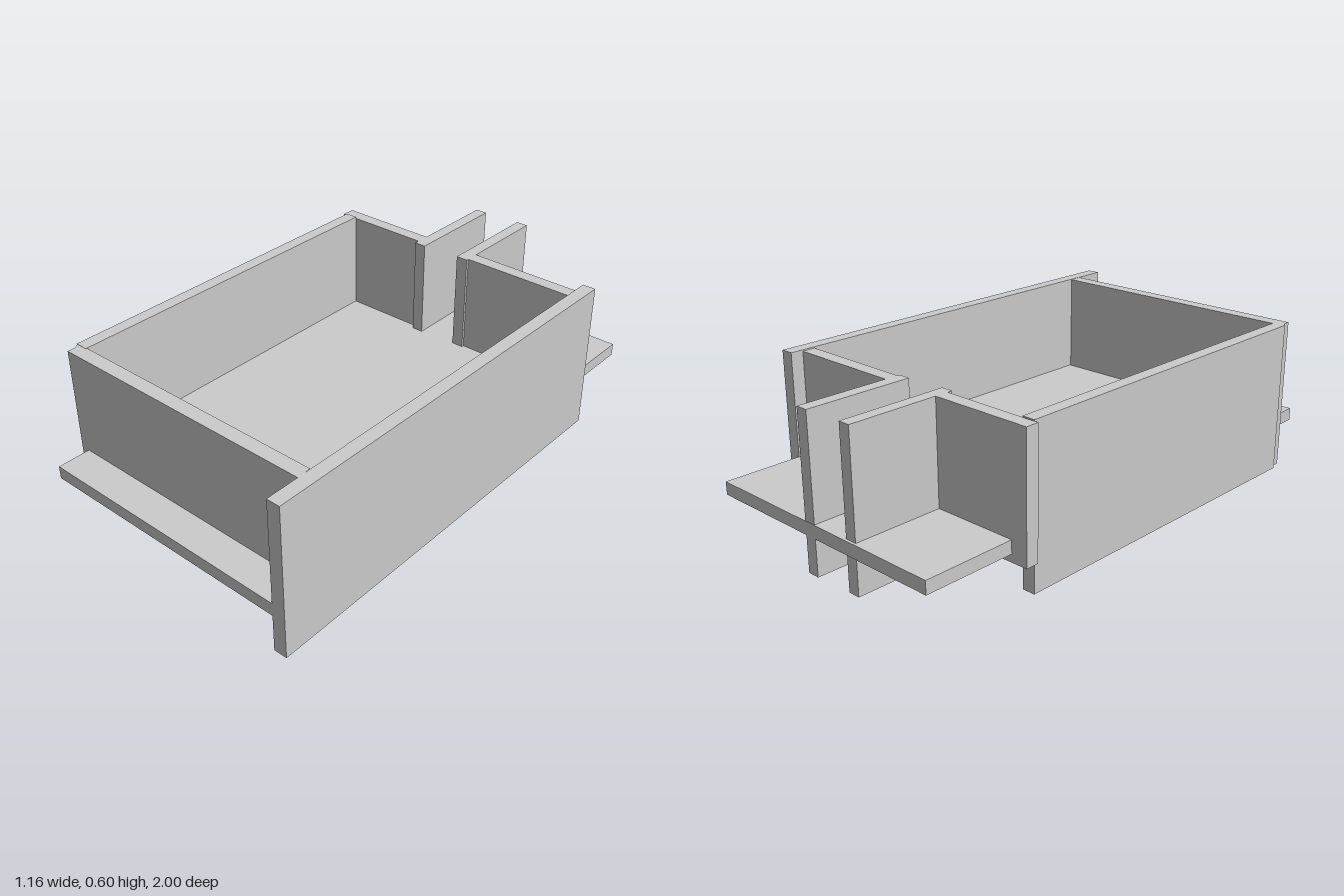
import * as THREE from 'three';

const material = new THREE.MeshStandardMaterial({ color: 0xcccccc, flatShading: true });

// Upright or flat board given by its extents on each axis
function board(name, [x0, x1], [y0, y1], [z0, z1]) {
  const mesh = new THREE.Mesh(new THREE.BoxGeometry(x1 - x0, y1 - y0, z1 - z0), material);
  mesh.position.set((x0 + x1) / 2, (y0 + y1) / 2, (z0 + z1) / 2);
  mesh.name = name;
  return mesh;
}

export function createModel() {
  const group = new THREE.Group();
  group.name = 'openTray';

  // Floor running out past both end walls
  group.add(board('floor', [-0.515, 0.527], [0.145, 0.195], [-1, 1]));

  // Long side walls
  group.add(board('leftWall', [0.525, 0.577], [0, 0.595], [-0.69, 1]));
  group.add(board('rightWall', [-0.565, -0.515], [0, 0.595], [-0.59, 0.82]));

  // Front wall with a clipped corner, extruded upward from its plan (shape y = -z)
  const plan = new THREE.Shape([
    [-0.565, -0.815], [-0.55, -0.84], [-0.55, -0.87], [0.527, -0.87], [0.522, -0.815],
  ].map(([x, y]) => new THREE.Vector2(x, y)));
  const frontGeometry = new THREE.ExtrudeGeometry(plan, { depth: 0.594, bevelEnabled: false });
  frontGeometry.rotateX(-Math.PI / 2);
  const frontWall = new THREE.Mesh(frontGeometry, material);
  frontWall.name = 'frontWall';
  group.add(frontWall);

  // Back wall in two halves, leaving a doorway
  group.add(board('backWallRight', [-0.58, -0.15], [0.115, 0.59], [-0.64, -0.588]));
  group.add(board('backWallLeft', [0.05, 0.527], [0.115, 0.59], [-0.64, -0.588]));

  // Parallel fins flanking the doorway, passing through the floor
  group.add(board('rightFin', [-0.18, -0.133], [0.005, 0.59], [-0.99, -0.568]));
  group.add(board('leftFin', [0.02, 0.068], [0.005, 0.59], [-0.998, -0.578]));

  return group;
}
